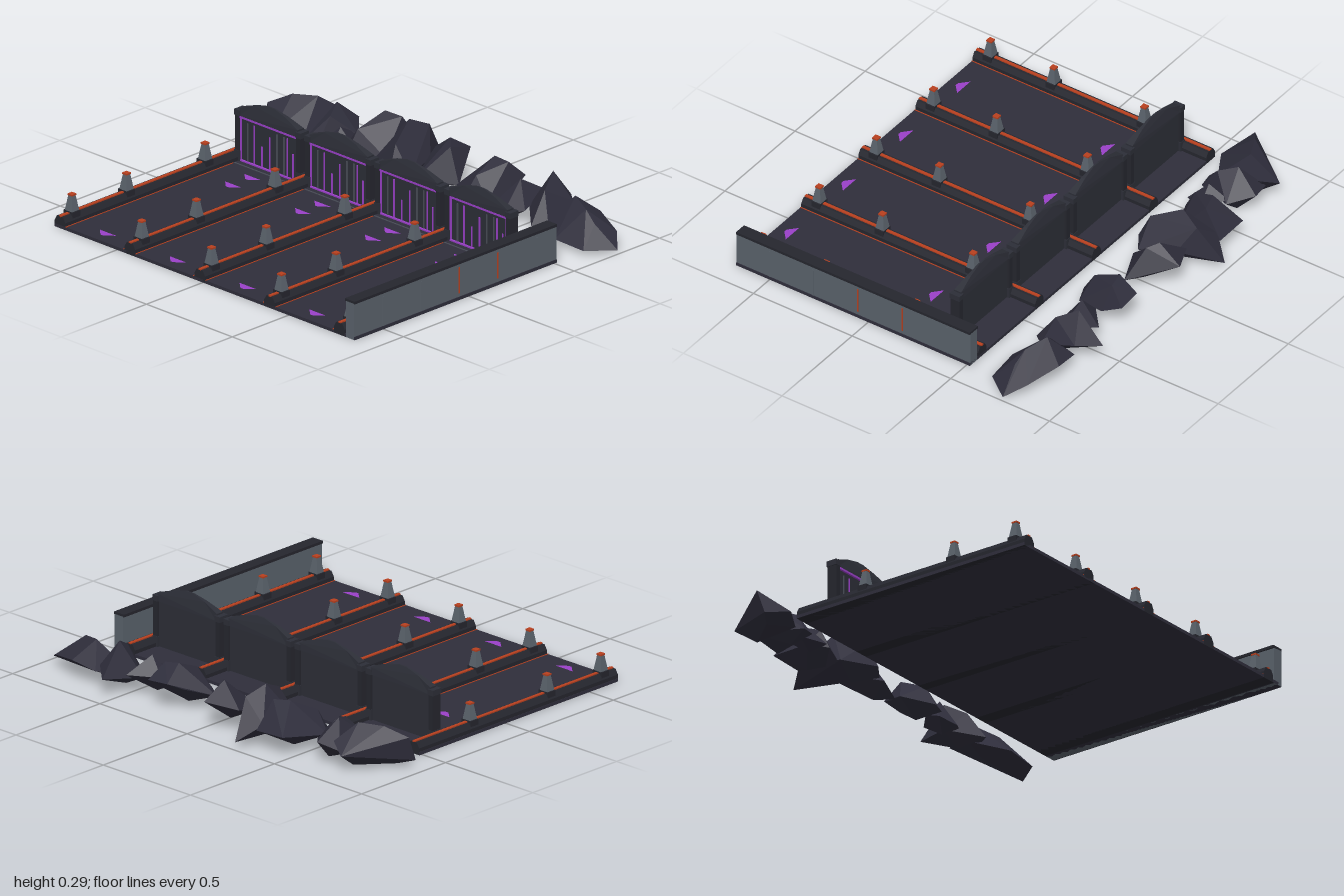
import * as THREE from 'three';
import { ConvexGeometry } from 'three/addons/geometries/ConvexGeometry.js';

const mat = (name, color, double = false) => {
  const m = new THREE.MeshStandardMaterial({ color, flatShading: true });
  m.name = name;
  if (double) m.side = THREE.DoubleSide;
  return m;
};

export function createModel() {
  const M = {
    floor: mat('floor slate', 0x2f2e3b),
    dark: mat('dark trim', 0x25262e),
    frame: mat('gate frame', 0x2c2e37),
    steel: mat('steel grey', 0x5a626b),
    line: mat('bar grey', 0x484c56),
    red: mat('signal red', 0xb8401f),
    purple: mat('glow purple', 0x9a40c8, true),
    rock: mat('rock', 0x2f2e3c),
  };
  const model = new THREE.Group();
  model.name = 'gatedLanes';

  const add = (parent, name, geo, material, x = 0, y = 0, z = 0) => {
    const m = new THREE.Mesh(geo, material);
    m.name = name;
    m.position.set(x, y, z);
    parent.add(m);
    return m;
  };
  // Box given by its minimum and maximum corners
  const box = (parent, name, material, x0, x1, y0, y1, z0, z1) =>
    add(parent, name, new THREE.BoxGeometry(x1 - x0, y1 - y0, z1 - z0), material,
      (x0 + x1) / 2, (y0 + y1) / 2, (z0 + z1) / 2);
  const group = (name, x = 0, z = 0) => {
    const g = new THREE.Group();
    g.name = name;
    g.position.set(x, 0, z);
    model.add(g);
    return g;
  };
  const polygon = pts => new THREE.Shape(pts.map(p => new THREE.Vector2(...p)));

  const BACK = -0.515, FRONT = 0.67, TOP = 0.014;
  box(model, 'floorSlab', M.floor, -0.865, 0.885, 0, TOP, BACK, FRONT);

  // Side wall with cap, panel seams and red slots
  const wall = group('sideWall');
  box(wall, 'wallBody', M.steel, 0.834, 0.882, 0, 0.162, BACK, FRONT);
  box(wall, 'wallCap', M.dark, 0.828, 0.885, 0.16, 0.172, BACK, FRONT);
  for (const z of [-0.4, -0.17, 0.055, 0.28, 0.5]) {
    const lit = z === -0.17 || z === 0.055;
    box(wall, lit ? 'wallSlot' : 'wallSeam', lit ? M.red : M.steel,
      0.881, 0.884, lit ? 0.03 : 0.01, 0.146, z - 0.003, z + 0.003);
  }

  // Dividing curbs with a red rail and three pylons each
  const curbShape = polygon([[-0.031, 0], [0.031, 0], [0.031, 0.03], [0.018, 0.052], [-0.018, 0.052], [-0.031, 0.03]]);
  for (const x of [-0.832, -0.425, -0.018, 0.389, 0.796]) {
    const curb = group('divider', x);
    add(curb, 'curb', new THREE.ExtrudeGeometry(curbShape, { depth: FRONT - BACK, bevelEnabled: false }), M.dark, 0, 0, BACK);
    box(curb, 'rail', M.red, -0.007, 0.007, 0.05, 0.057, BACK, FRONT);
    for (const z of [-0.18, 0.28, 0.6]) {
      box(curb, 'pylonBase', M.dark, -0.027, 0.027, 0.03, 0.062, z - 0.022, z + 0.022);
      const body = new THREE.CylinderGeometry(0.015, 0.03, 0.068, 4).rotateY(Math.PI / 4);
      add(curb, 'pylon', body, M.steel, 0, 0.095, z);
      box(curb, 'pylonCap', M.red, -0.013, 0.013, 0.128, 0.135, z - 0.013, z + 0.013);
    }
  }

  // Tapered gable, shared by all gates
  const gableShape = polygon([[-0.17, 0.215], [0.17, 0.215], [0.17, 0.247], [0.09, 0.277], [0.02, 0.294],
    [-0.02, 0.294], [-0.09, 0.277], [-0.17, 0.247]]);
  const gable = new THREE.ExtrudeGeometry(gableShape, { depth: 0.04, bevelEnabled: false });
  gable.translate(0, 0, -0.02);
  const gp = gable.attributes.position;
  for (let i = 0; i < gp.count; i++) {
    const t = Math.max(0, gp.getY(i) - 0.24) / 0.055;
    gp.setZ(i, gp.getZ(i) * (1 - 0.85 * t));
  }
  gable.computeVertexNormals();

  const arrow = new THREE.ShapeGeometry(polygon([[-0.048, 0.018], [0.048, 0.018], [0.008, -0.018], [-0.008, -0.018]]));
  arrow.rotateX(-Math.PI / 2);

  // Each bar: offset from gate centre, top height, glowing or plain
  const bars = [[-0.125, 0.19, 0], [-0.088, 0.19, 1], [-0.043, 0.11, 1], [0.003, 0.165, 1],
    [0.045, 0.19, 0], [0.085, 0.19, 0], [0.105, 0.19, 1], [0.138, 0.13, 1]];

  for (const x of [-0.63, -0.222, 0.185, 0.592]) {
    const gate = group('gate', x, -0.366);
    box(gate, 'gatePanel', M.frame, -0.168, 0.168, 0.01, 0.22, -0.013, 0.011);
    add(gate, 'gable', gable, M.frame);
    for (const s of [-1, 1]) {
      const px = s * 0.178;
      box(gate, 'post', M.dark, px - 0.012, px + 0.012, 0.01, 0.236, -0.023, 0.023);
      box(gate, 'postHead', M.frame, px - 0.015, px + 0.015, 0.215, 0.24, -0.025, 0.025);
      box(gate, 'postFoot', M.frame, px - 0.015, px + 0.015, 0.01, 0.06, -0.025, 0.025);
      box(gate, 'glowSide', M.purple, s * 0.163 - 0.003, s * 0.163 + 0.003, 0.014, 0.216, 0.011, 0.018);
    }
    box(gate, 'glowTop', M.purple, -0.165, 0.165, 0.206, 0.215, 0.012, 0.021);
    box(gate, 'glowSill', M.purple, -0.165, 0.165, 0.012, 0.02, 0.012, 0.021);
    for (const [bx, top, lit] of bars)
      box(gate, lit ? 'glowBar' : 'plainBar', lit ? M.purple : M.line, bx - 0.003, bx + 0.003, 0.018, top, 0.01, 0.015);

    // Lane markings on the floor
    const lane = group('lane', x);
    for (const s of [-1, 1])
      box(lane, 'laneEdge', M.red, s * 0.167 - 0.002, s * 0.167 + 0.002, TOP - 0.002, TOP + 0.002, -0.31, FRONT);
    box(lane, 'threshold', M.line, -0.167, 0.167, TOP - 0.002, TOP + 0.002, -0.319, -0.313);
    for (const z of [-0.237, -0.124, 0.61]) add(lane, 'arrow', arrow, M.purple, 0, TOP + 0.002, z);
  }

  // Faceted boulders along the back, each the hull of a few corner points
  const rocks = group('rocks');
  const rock = (...pts) => add(rocks, 'rock',
    new ConvexGeometry(pts.map(p => new THREE.Vector3(...p))), M.rock);
  rock([-0.945, 0.14, -0.66], [-0.945, 0.03, -0.62], [-0.785, 0.08, -0.9], [-0.71, 0.12, -0.865], [-0.83, 0.06, -0.57],
    [-0.715, 0.05, -0.635], [-0.86, 0.185, -0.72], [-0.76, 0.19, -0.77], [-0.88, 0.01, -0.66], [-0.76, 0.01, -0.8]);
  rock([-0.74, 0.08, -0.86], [-0.635, 0.1, -0.885], [-0.55, 0.07, -0.795], [-0.7, 0.04, -0.6], [-0.62, 0.05, -0.62],
    [-0.66, 0.19, -0.78], [-0.62, 0.16, -0.7], [-0.66, 0.01, -0.7], [-0.62, 0.01, -0.8]);
  rock([-0.57, 0.08, -0.79], [-0.48, 0.05, -0.705], [-0.54, 0.03, -0.605], [-0.65, 0.04, -0.66],
    [-0.56, 0.13, -0.7], [-0.55, 0.01, -0.69]);
  rock([-0.48, 0.09, -0.93], [-0.325, 0.08, -0.925], [-0.535, 0.06, -0.715], [-0.47, 0.05, -0.645], [-0.315, 0.06, -0.715],
    [-0.42, 0.21, -0.82], [-0.34, 0.2, -0.84], [-0.46, 0.15, -0.7], [-0.42, 0.01, -0.8], [-0.4, 0.01, -0.72]);
  rock([-0.265, 0.03, -0.99], [-0.34, 0.1, -0.9], [-0.155, 0.08, -0.82], [-0.11, 0.05, -0.66], [-0.185, 0.06, -0.61],
    [-0.35, 0.05, -0.68], [-0.25, 0.23, -0.79], [-0.22, 0.19, -0.88], [-0.2, 0.17, -0.66], [-0.23, 0.01, -0.72]);
  rock([-0.17, 0.11, -0.865], [-0.03, 0.13, -0.93], [0.02, 0.1, -0.845], [0.095, 0.05, -0.735], [-0.09, 0.04, -0.65],
    [-0.1, 0.07, -0.75], [-0.04, 0.2, -0.82], [0, 0.18, -0.78], [-0.02, 0.01, -0.76]);
  rock([0.22, 0.13, -0.89], [0.33, 0.12, -0.89], [0.34, 0.07, -0.795], [0.325, 0.06, -0.67], [0.22, 0.04, -0.62],
    [0.1, 0.06, -0.715], [0.18, 0.1, -0.83], [0.23, 0.2, -0.81], [0.3, 0.19, -0.82], [0.24, 0.15, -0.69], [0.24, 0.01, -0.74]);
  rock([0.335, 0.05, -0.69], [0.36, 0.09, -0.78], [0.47, 0.1, -0.875], [0.5, 0.06, -0.715], [0.42, 0.03, -0.66],
    [0.43, 0.17, -0.76], [0.42, 0.01, -0.74]);
  rock([0.54, 0.08, -0.945], [0.63, 0.1, -0.865], [0.645, 0.05, -0.705], [0.6, 0.04, -0.65], [0.47, 0.06, -0.77],
    [0.55, 0.22, -0.83], [0.59, 0.17, -0.74], [0.57, 0.01, -0.77]);
  rock([0.645, 0.07, -0.875], [0.77, 0.09, -0.885], [0.92, 0.06, -0.83], [0.995, 0.015, -0.76], [0.91, 0.02, -0.645],
    [0.75, 0.03, -0.635], [0.57, 0.03, -0.72], [0.72, 0.17, -0.79], [0.82, 0.15, -0.75], [0.88, 0.105, -0.74],
    [0.7, 0.01, -0.75], [0.9, 0.01, -0.74]);

  return model;
}
